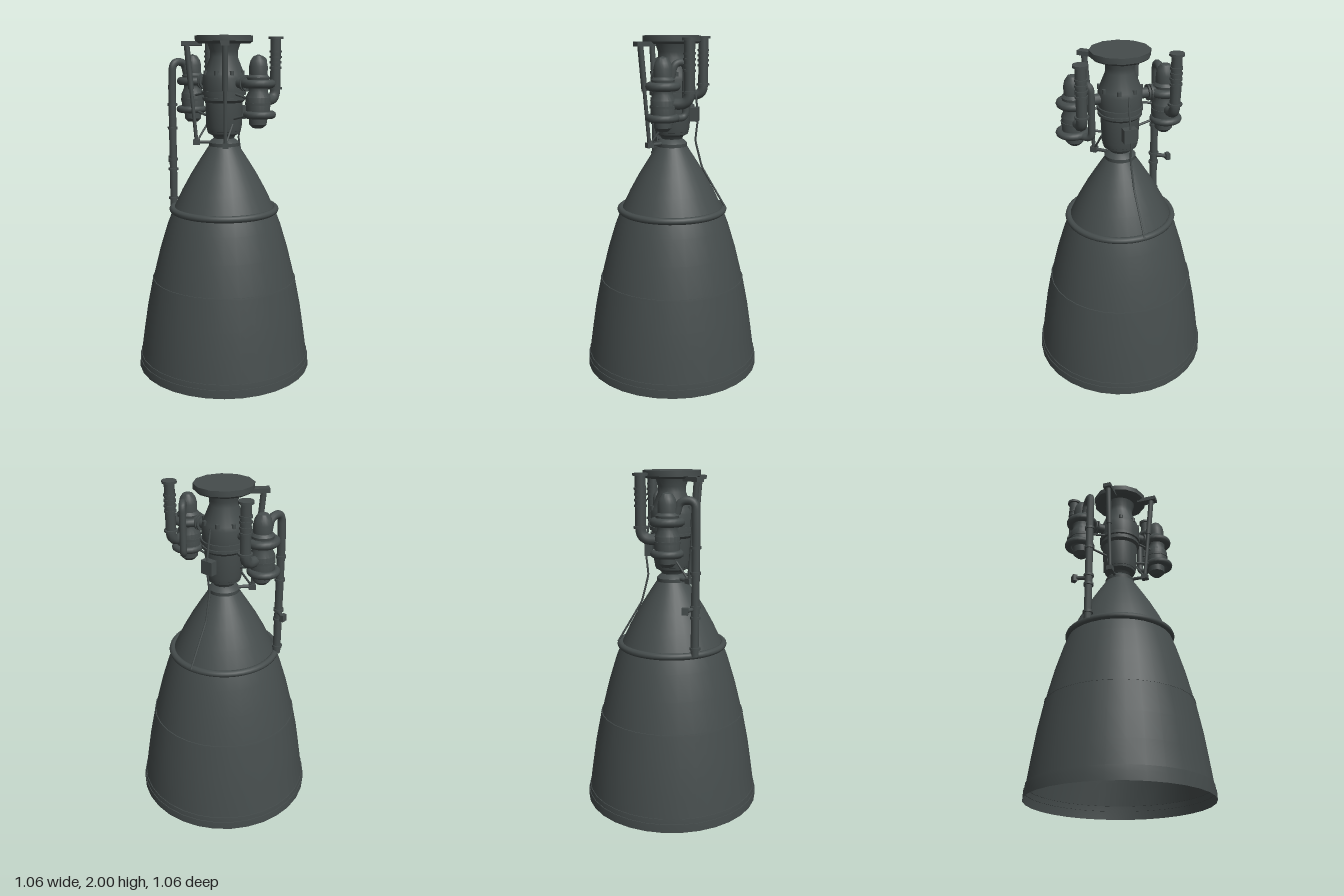
import * as THREE from 'three';
import { toCreasedNormals } from 'three/addons/utils/BufferGeometryUtils.js';

const metal = new THREE.MeshStandardMaterial({ color: 0x454c4c, side: THREE.DoubleSide });
metal.name = 'dark gunmetal';

const V = (p) => new THREE.Vector3(...p);

function add(parent, name, geometry, pos = [0, 0, 0]) {
  const mesh = new THREE.Mesh(geometry, metal);
  mesh.name = name;
  mesh.position.set(...pos);
  parent.add(mesh);
  return mesh;
}

// Turned part from [radius, height] pairs, sharp at strong profile corners
function turned(parent, name, profile, segments = 24, pos) {
  const points = profile.map(([r, y]) => new THREE.Vector2(r, y));
  const lathe = new THREE.LatheGeometry(points, segments);
  return add(parent, name, toCreasedNormals(lathe, 0.55), pos);
}

function ring(parent, name, major, minor, pos, segments = 32) {
  const mesh = add(parent, name, new THREE.TorusGeometry(major, minor, 10, segments), pos);
  mesh.rotation.x = Math.PI / 2;
  return mesh;
}

// Straight rod between two points
function rod(parent, name, a, b, r, sides = 10) {
  const from = V(a), to = V(b), dir = to.clone().sub(from);
  const mesh = add(parent, name, new THREE.CylinderGeometry(r, r, dir.length(), sides));
  mesh.position.copy(from).add(to).multiplyScalar(0.5);
  mesh.quaternion.setFromUnitVectors(new THREE.Vector3(0, 1, 0), dir.normalize());
  return mesh;
}

// Pipe through straight runs joined by rounded elbows
function pipe(parent, name, points, r, bend = 0.04, segments = 60) {
  const p = points.map(V), path = new THREE.CurvePath();
  let last = p[0];
  for (let i = 1; i < p.length - 1; i++) {
    const toward = (q) => {
      const d = q.clone().sub(p[i]);
      return p[i].clone().add(d.setLength(Math.min(bend, d.length() * 0.48)));
    };
    const start = toward(p[i - 1]), end = toward(p[i + 1]);
    path.add(new THREE.LineCurve3(last, start));
    path.add(new THREE.QuadraticBezierCurve3(start, p[i], end));
    last = end;
  }
  path.add(new THREE.LineCurve3(last, p[p.length - 1]));
  return add(parent, name, new THREE.TubeGeometry(path, segments, r, 10));
}

function collar(parent, name, r, h, pos) {
  return add(parent, name, new THREE.CylinderGeometry(r, r, h, 16), pos);
}

export function createModel() {
  const engine = new THREE.Group();
  engine.name = 'rocketEngine';

  // Nozzle bell with raised seams, open at the bottom
  turned(engine, 'nozzleBell', [
    [0.53, 0], [0.528, 0.05], [0.524, 0.05], [0.521, 0.08], [0.517, 0.08], [0.497, 0.22], [0.474, 0.37],
    [0.438, 0.55], [0.44, 0.55], [0.438, 0.56], [0.433, 0.56], [0.388, 0.74], [0.342, 0.89],
    [0.307, 0.98], [0.25, 1.1], [0.195, 1.2], [0.145, 1.28], [0.09, 1.365],
  ], 32);
  ring(engine, 'coolantManifold', 0.31, 0.02, [0, 0.985, 0], 48);

  // Throat and combustion chamber
  turned(engine, 'throat', [[0.088, 1.36], [0.09, 1.385], [0.075, 1.4], [0.06, 1.41], [0.07, 1.43], [0.1, 1.455]]);
  turned(engine, 'combustionChamber', [
    [0.065, 1.425], [0.095, 1.44], [0.105, 1.48], [0.11, 1.62], [0.125, 1.635], [0.125, 1.65], [0.116, 1.65],
    [0.116, 1.665], [0.13, 1.665], [0.13, 1.685], [0.122, 1.685], [0.125, 1.76], [0.118, 1.785], [0.08, 1.88],
    [0.08, 1.91], [0.095, 1.955],
  ]);
  turned(engine, 'thrustPlate', [[0, 1.955], [0.15, 1.955], [0.168, 1.968], [0.168, 2], [0, 2]], 12)
    .rotation.y = Math.PI / 12;

  // Chamber bolts around the upper band
  for (let i = 0; i < 8; i++) {
    const a = (i + 0.5) * Math.PI / 4;
    collar(engine, 'chamberBoss', 0.012, 0.025, [Math.cos(a) * 0.115, 1.79, Math.sin(a) * 0.115]);
  }

  for (const s of [-1, 1]) {
    const x = s * 0.268;
    const pump = new THREE.Group();
    pump.name = s > 0 ? 'leftTurbopump' : 'rightTurbopump';
    engine.add(pump);

    // Pump body and volutes
    turned(pump, 'pumpBody', [
      [0, 1.487], [0.03, 1.49], [0.05, 1.51], [0.052, 1.55], [0.068, 1.57], [0.07, 1.66], [0.055, 1.69],
      [0.055, 1.71], [0.065, 1.77], [0.052, 1.785], [0.052, 1.83], [0.045, 1.86], [0.028, 1.885], [0, 1.895],
    ], 20, [x, 0, 0]);
    ring(pump, 'upperVolute', 0.073, 0.024, [x, 1.735, 0], 24);
    ring(pump, 'lowerVolute', 0.072, 0.021, [x + s * 0.012, 1.565, 0], 24);
    collar(pump, 'pumpBand', 0.074, 0.014, [x, 1.625, 0]);

    // Inlet duct with bellows and top flange
    pipe(pump, 'inletDuct', [[x, 1.64, -0.02], [x, 1.64, -0.145], [x, 1.98, -0.145]], 0.03, 0.06);
    collar(pump, 'inletFlange', 0.042, 0.014, [x, 1.985, -0.145]);
    for (const y of [1.705, 1.82, 1.85, 1.88, 1.91]) {
      collar(pump, 'ductCollar', y < 1.8 ? 0.04 : 0.035, 0.012, [x, y, -0.145]);
    }

    // Port into the chamber and its flanges
    rod(pump, 'chamberPort', [s * 0.1, 1.735, 0], [s * 0.22, 1.735, 0], 0.03, 16);
    for (const f of [0.165, 0.182]) {
      rod(pump, 'portFlange', [s * (f - 0.005), 1.735, 0], [s * (f + 0.005), 1.735, 0], 0.045, 16);
    }
    rod(pump, 'lowerStay', [s * 0.1, 1.53, 0.02], [s * 0.22, 1.56, 0.02], 0.007);
    rod(pump, 'upperStay', [s * 0.11, 1.675, 0.03], [s * 0.23, 1.65, 0.03], 0.007);

    // Gimbal actuator with its brackets
    const actuator = new THREE.Group();
    actuator.name = s > 0 ? 'leftActuator' : 'rightActuator';
    engine.add(actuator);
    const top = [s * 0.155, 1.95, 0.15], foot = [s * 0.12, 1.385, 0.11];
    const mid = top.map((v, i) => v * 0.55 + foot[i] * 0.45);
    rod(actuator, 'actuatorBody', top, mid, 0.017);
    rod(actuator, 'actuatorRod', mid, foot, 0.011);
    const upper = add(actuator, 'upperBracket', new THREE.BoxGeometry(0.05, 0.025, 0.12), [s * 0.135, 1.955, 0.13]);
    const lower = add(actuator, 'lowerBracket', new THREE.BoxGeometry(0.035, 0.03, 0.04), foot);
    upper.rotation.y = lower.rotation.y = s * Math.PI / 4;
    rod(actuator, 'lowerArm', [s * 0.05, 1.385, 0.045], foot, 0.01);
    rod(actuator, 'lowerBrace', [s * 0.1, 1.5, 0.03], foot, 0.006);
  }

  // Long exhaust pipe running down to the manifold
  const exhaust = new THREE.Group();
  exhaust.name = 'exhaustLine';
  engine.add(exhaust);
  pipe(exhaust, 'exhaustPipe', [
    [-0.268, 1.78, 0.05], [-0.268, 1.85, 0.07], [-0.275, 1.85, 0.155], [-0.28, 1.7, 0.158], [-0.28, 0.985, 0.155],
  ], 0.023, 0.05, 80);
  for (const y of [1.6, 1.46, 1.27, 1.21, 1.03]) collar(exhaust, 'pipeCollar', 0.03, 0.014, [-0.28, y, 0.157]);
  rod(exhaust, 'valveStem', [-0.28, 1.26, 0.15], [-0.345, 1.26, 0.11], 0.012);
  add(exhaust, 'valveBox', new THREE.BoxGeometry(0.025, 0.04, 0.035), [-0.35, 1.26, 0.105]);

  // Arched crossover on the other pump
  pipe(engine, 'crossoverPipe', [
    [0.258, 1.78, -0.045], [0.25, 1.86, -0.06], [0.205, 1.86, -0.115], [0.205, 1.56, -0.115], [0.255, 1.56, -0.06],
  ], 0.02, 0.04);

  // Control box and sensor line down the back
  add(engine, 'controlBox', new THREE.BoxGeometry(0.075, 0.08, 0.045), [-0.005, 1.555, -0.135]);
  pipe(engine, 'sensorLine', [
    [-0.005, 1.77, -0.12], [-0.005, 1.63, -0.145], [-0.008, 1.52, -0.152],
    [-0.012, 1.4, -0.138], [-0.018, 1.24, -0.178], [-0.028, 0.99, -0.325],
  ], 0.006, 0.02, 60);

  return engine;
}
